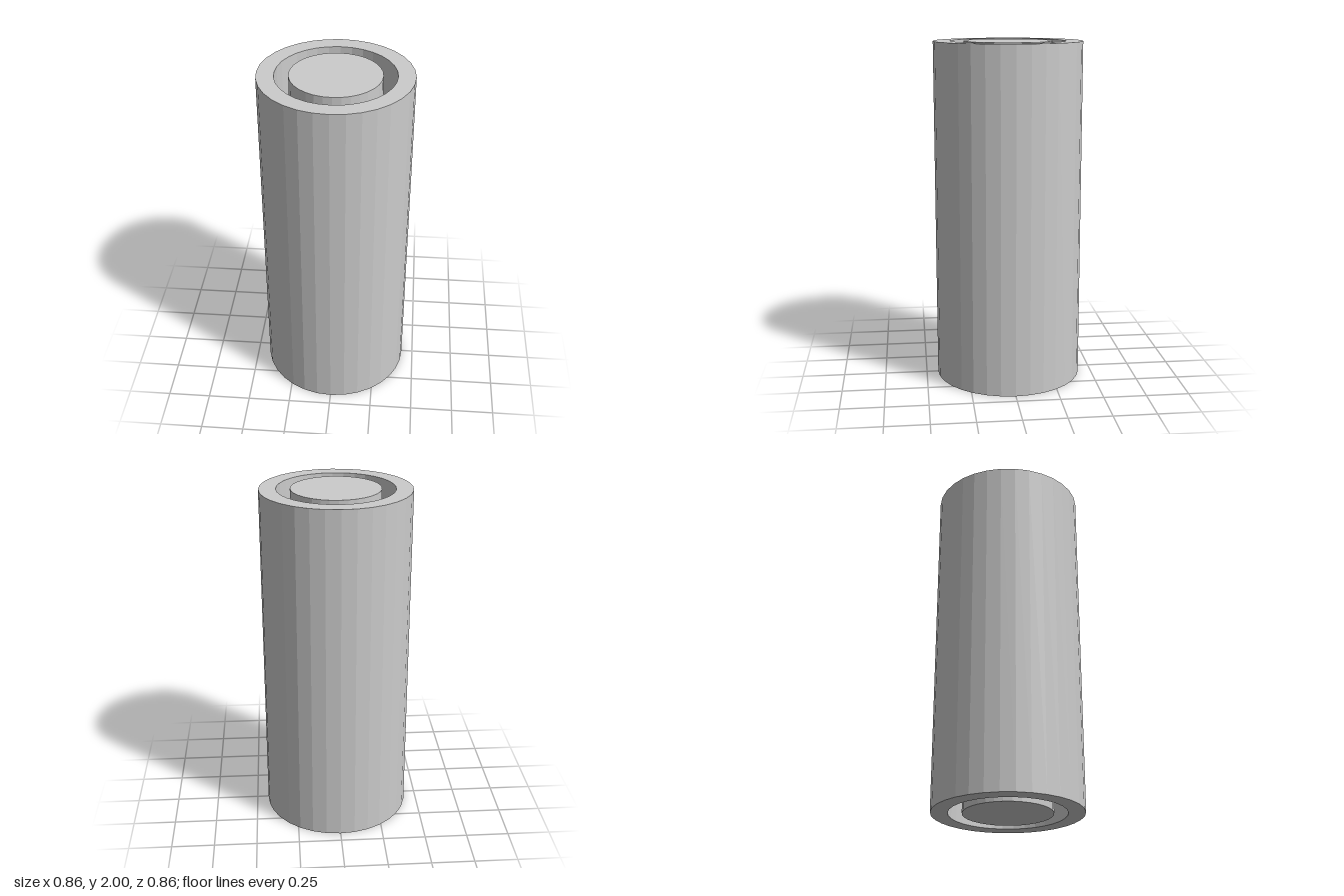
import * as THREE from 'three';

const HEIGHT = 2;
const SIDES = 32;
const OUTER_R = 0.431;
const INNER_R = 0.334;
const CORE_R = 0.256;

export function createModel() {
  const group = new THREE.Group();
  group.name = 'sleeveAndCore';
  const material = new THREE.MeshStandardMaterial({ color: 0xcccccc, flatShading: true });

  // Open sleeve: closed rectangular section, turned about the vertical axis
  const section = [
    [OUTER_R, 0], [OUTER_R, HEIGHT], [INNER_R, HEIGHT], [INNER_R, 0], [OUTER_R, 0],
  ].map(([r, y]) => new THREE.Vector2(r, y));
  const sleeve = new THREE.Mesh(new THREE.LatheGeometry(section, SIDES), material);
  sleeve.name = 'outerSleeve';
  group.add(sleeve);

  // Solid core, standing free inside the sleeve
  const core = new THREE.Mesh(new THREE.CylinderGeometry(CORE_R, CORE_R, HEIGHT, SIDES), material);
  core.name = 'innerCore';
  core.position.y = HEIGHT / 2;
  group.add(core);

  return group;
}
